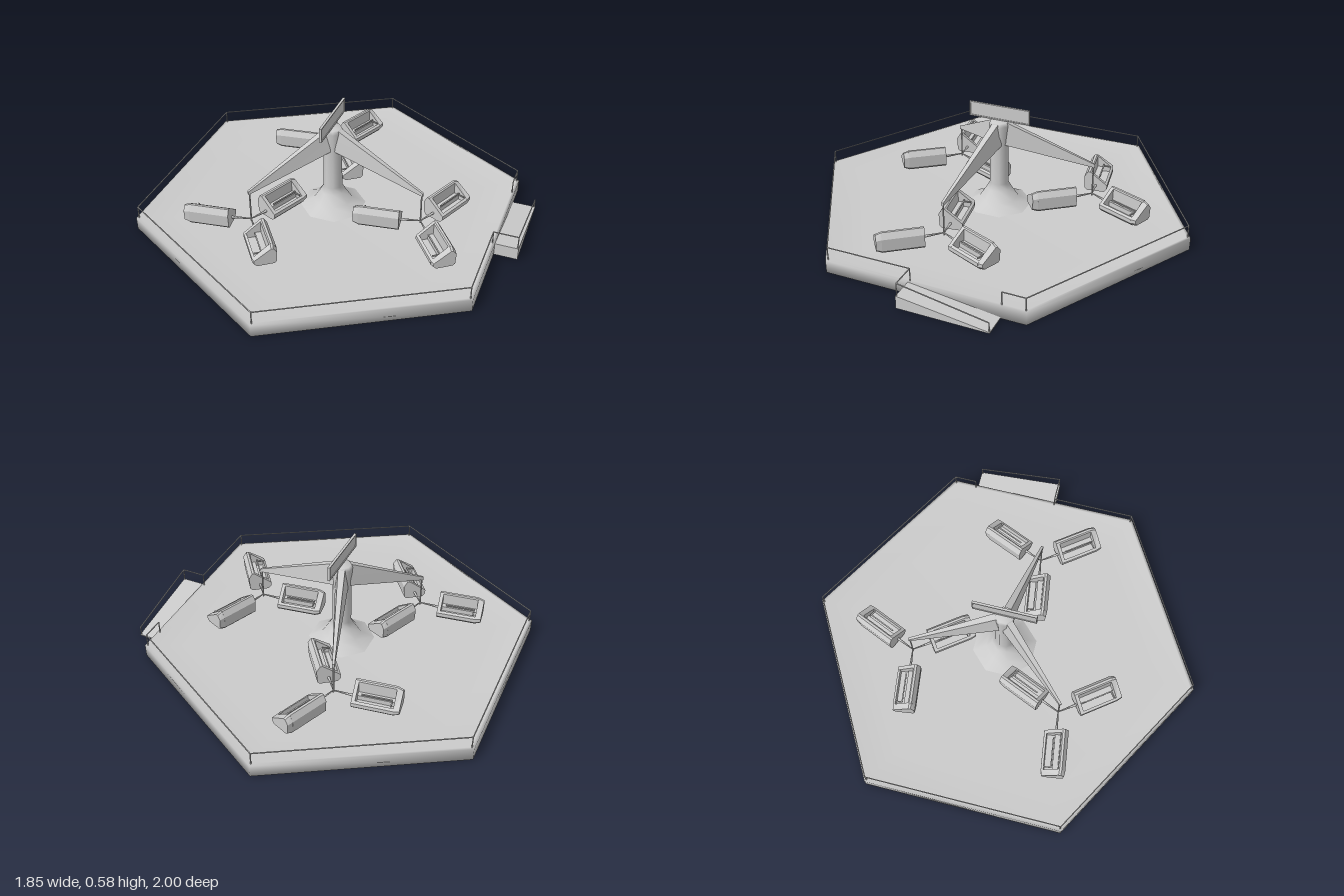
import * as THREE from 'three';

const grey = new THREE.MeshStandardMaterial({ color: 0xcccccc, side: THREE.DoubleSide });
const V = (x, y, z) => new THREE.Vector3(x, y, z);
const CX = -0.06; // ride axis
const RIM = 0.065;
const FLOOR = 0.042;
const RAIL = 0.13;

function add(parent, name, geo, x = 0, y = 0, z = 0) {
  const m = new THREE.Mesh(geo, grey);
  m.name = name;
  m.position.set(x, y, z);
  parent.add(m);
  return m;
}

// Thin rod between two points
function rod(parent, name, a, b, r = 0.004, r2 = r) {
  const d = b.clone().sub(a);
  const m = add(parent, name, new THREE.CylinderGeometry(r2, r, d.length(), 6));
  m.position.copy(a).addScaledVector(d, 0.5);
  m.quaternion.setFromUnitVectors(V(0, 1, 0), d.normalize());
}

function lathe(points, sides) {
  return new THREE.LatheGeometry(points.map(p => new THREE.Vector2(...p)), sides);
}

// Extrude a (z, y) profile along x from x0 to x1
function extrudeX(points, x0, x1) {
  const shape = new THREE.Shape(points.map(([z, y]) => new THREE.Vector2(-z, y)));
  const g = new THREE.ExtrudeGeometry(shape, { depth: x1 - x0, bevelEnabled: false });
  g.rotateY(Math.PI / 2);
  g.translate(x0, 0, 0);
  return g;
}

// Tub car: long side along x (outer end +x), back towards -z, rim sloping down to the front
function makeCar() {
  const car = new THREE.Group();
  car.name = 'car';
  const front = [[0.06, 0.085], [0.06, 0.106]];
  const back = [[-0.03, 0.175], [-0.042, 0.175], [-0.06, 0.145], [-0.056, 0.08], [-0.045, 0.068], [0.045, 0.068]];
  const cheek = [...front, ...back];
  add(car, 'innerCheek', extrudeX(cheek, -0.115, -0.097));
  // Outer cheek narrows towards its end
  const outer = extrudeX(cheek, 0.085, 0.115);
  const p = outer.attributes.position;
  for (let i = 0; i < p.count; i++) {
    if (p.getX(i) > 0.11) {
      p.setY(i, 0.12 + (p.getY(i) - 0.12) * 0.8);
      p.setZ(i, p.getZ(i) * 0.93);
    }
  }
  outer.computeVertexNormals();
  add(car, 'outerCheek', outer);
  // Shell: front lip, floor and back in one section
  const inside = [[0.048, 0.114], [0.044, 0.085], [-0.022, 0.085], [-0.024, 0.17]];
  add(car, 'carShell', extrudeX([...front, ...inside, ...back], -0.1, 0.088));
  add(car, 'bench', new THREE.BoxGeometry(0.19, 0.025, 0.03), -0.005, 0.0975, -0.01);
  add(car, 'lapBar', new THREE.BoxGeometry(0.15, 0.006, 0.006), 0, 0.128, 0.012);
  add(car, 'lapBarStem', new THREE.BoxGeometry(0.006, 0.006, 0.035), 0.072, 0.121, 0.03);
  return car;
}

// Tapered sweep arm along +x, ending at the given length
function armGeometry(length) {
  const g = new THREE.BoxGeometry(1, 1, 1);
  const p = g.attributes.position;
  for (let i = 0; i < p.count; i++) {
    const tip = p.getX(i) > 0, top = p.getY(i) > 0;
    const w = tip ? 0.012 : top ? 0.035 : 0.065;
    p.setXYZ(i, tip ? length : 0.03,
      tip ? (top ? 0.275 : 0.257) : (top ? 0.5 : 0.38), p.getZ(i) * w);
  }
  g.computeVertexNormals();
  return g;
}

export function createModel() {
  const root = new THREE.Group();
  root.name = 'spinningRide';

  // Hexagonal deck: narrow rim, floor dipping inside it
  add(root, 'deck', lathe([[0, 0], [1, 0], [1, RIM], [0.983, RIM], [0.8, FLOOR], [0, FLOOR]], 6), CX);

  // Entrance ramp on the +x side, falling towards -z
  add(root, 'entranceRamp', extrudeX([[0.07, 0], [0.07, RIM], [-0.38, 0.006], [-0.38, 0]], 0.795, 0.922));

  // Railing around the deck, open at the ramp and following its slope
  const rails = new THREE.Group();
  rails.name = 'railing';
  root.add(rails);
  const R = 0.985, E = CX + R * Math.cos(Math.PI / 6);
  const path = [[V(E, RAIL, -0.38), RIM]];
  for (let i = 0; i < 6; i++) {
    const a = -Math.PI / 6 - i * Math.PI / 3;
    path.push([V(CX + R * Math.cos(a), RAIL, R * Math.sin(a)), RIM]);
  }
  path.push([V(E, RAIL, 0.065), RIM], [V(0.917, RAIL, 0.065), 0.06], [V(0.917, 0.052, -0.375), 0.003]);
  path.forEach(([top, foot], i) => {
    rod(rails, 'railPost', V(top.x, foot - 0.003, top.z), top, 0.003);
    if (i) rod(rails, 'topRail', path[i - 1][0], top, 0.003);
  });

  // Centre column with flared foot and head
  const column = add(root, 'column', lathe([[0.168, FLOOR], [0.1, 0.078], [0.065, 0.13],
    [0.048, 0.16], [0.046, 0.4], [0.052, 0.48], [0.045, 0.5], [0, 0.502]], 8), CX);
  column.rotation.y = Math.PI / 8;

  // Sign board on top
  const sign = new THREE.Group();
  sign.name = 'signBoard';
  sign.position.set(CX, 0.542, 0);
  root.add(sign);
  add(sign, 'panel', new THREE.BoxGeometry(0.005, 0.07, 0.31));
  for (const s of [-1, 1]) {
    add(sign, 'longFrame', new THREE.BoxGeometry(0.012, 0.006, 0.32), 0, s * 0.035, 0);
    add(sign, 'endFrame', new THREE.BoxGeometry(0.012, 0.076, 0.006), 0, 0, s * 0.157);
  }

  // Three sweep arms, each carrying three cars below its tip
  for (const [x, z] of [[0.43, 0.075], [-0.357, 0.352], [-0.216, -0.45]]) {
    const arm = add(root, 'sweepArm', armGeometry(Math.hypot(x - CX, z) + 0.007), CX);
    arm.rotation.y = -Math.atan2(z, x - CX);

    const cluster = new THREE.Group();
    cluster.name = 'carCluster';
    cluster.position.set(x, 0, z);
    root.add(cluster);
    rod(cluster, 'hanger', V(0, 0.095, 0), V(0, 0.268, 0), 0.004);
    for (const deg of [-67, 53, 172]) {
      const spoke = new THREE.Group();
      spoke.name = 'carSpoke';
      spoke.rotation.y = -THREE.MathUtils.degToRad(deg);
      cluster.add(spoke);
      rod(spoke, 'spokeBar', V(0, 0.108, 0), V(0.105, 0.1, 0), 0.003, 0.007);
      const car = makeCar();
      car.position.x = 0.215;
      spoke.add(car);
    }
  }
  return root;
}
